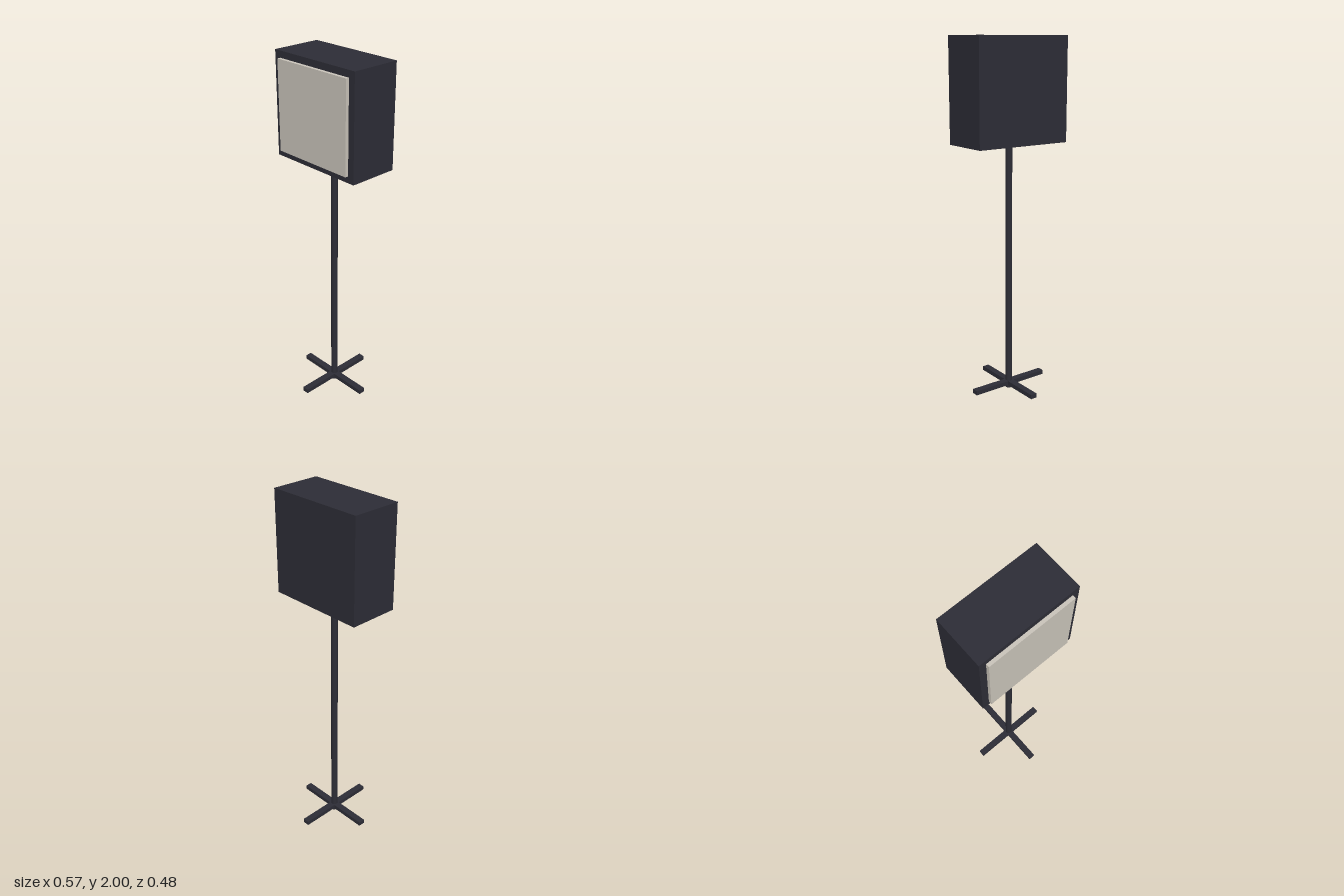
import * as THREE from 'three';

export function createModel() {
  const model = new THREE.Group();
  const dark = new THREE.MeshStandardMaterial({ color: 0x2d2d36 });
  dark.name = 'dark metal';
  const cream = new THREE.MeshStandardMaterial({ color: 0xcac4ba });
  cream.name = 'cream diffuser';

  const add = (name, geometry, material, x, y, z) => {
    const mesh = new THREE.Mesh(geometry, material);
    mesh.name = name;
    mesh.position.set(x, y, z);
    model.add(mesh);
    return mesh;
  };

  // Lamp head with its raised front panel
  add('lampHousing', new THREE.BoxGeometry(0.572, 0.57, 0.284), dark, 0, 1.715, 0);
  add('diffuserPanel', new THREE.BoxGeometry(0.496, 0.496, 0.038), cream, 0, 1.715, 0.142);

  // Round pole from the floor into the housing
  add('pole', new THREE.CylinderGeometry(0.019, 0.019, 1.44, 16), dark, 0, 0.72, 0);

  // Two crossed bars form the foot
  for (let i = 0; i < 2; i++) {
    const bar = add('footBar', new THREE.BoxGeometry(0.476, 0.025, 0.038), dark, 0, 0.031, 0);
    bar.rotation.y = i * Math.PI / 2;
  }

  return model;
}
